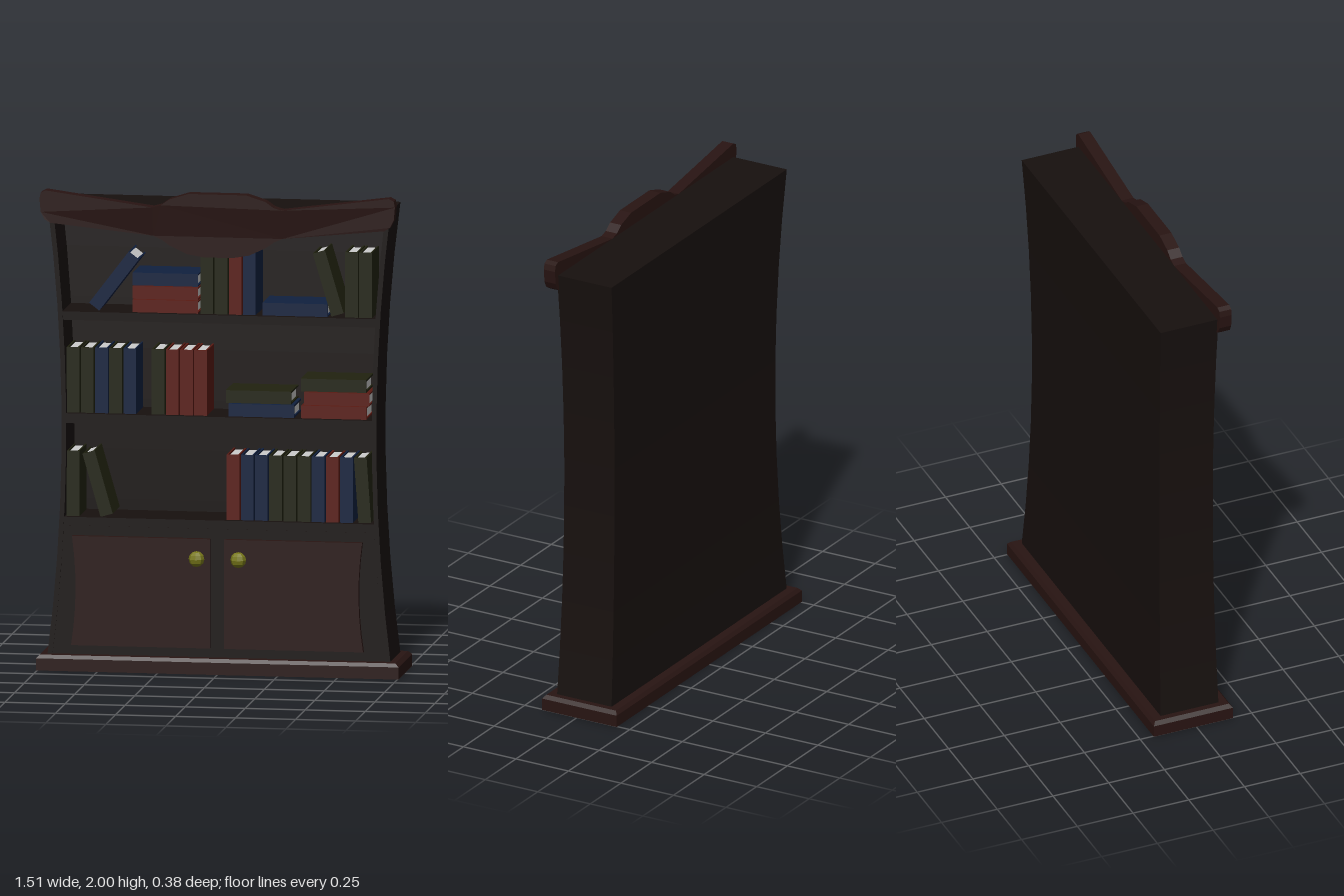
import * as THREE from 'three';

const mat = (color) => new THREE.MeshStandardMaterial({ color, flatShading: true });

export function createModel() {
  const root = new THREE.Group();
  root.name = 'bookcase';
  const darkWood = mat(0x17100e), redWood = mat(0x281412), brass = mat(0x78781a);
  const pages = mat(0xcccccc);
  const covers = { r: mat(0x5a1a12), b: mat(0x10203f), o: mat(0x20220f) };

  const add = (parent, name, geometry, material, x = 0, y = 0, z = 0) => {
    const mesh = new THREE.Mesh(geometry, material);
    mesh.name = name;
    mesh.position.set(x, y, z);
    parent.add(mesh);
    return mesh;
  };
  const reshape = (geometry, rule) => {
    const p = geometry.attributes.position, v = new THREE.Vector3();
    for (let i = 0; i < p.count; i++) {
      rule(v.fromBufferAttribute(p, i));
      p.setXYZ(i, v.x, v.y, v.z);
    }
    geometry.computeVertexNormals();
    return geometry;
  };

  // Carcass boards: boxes whose sides and back follow the waisted outline
  const board = (name, x0, x1, y0, y1, z0, z1) => {
    const steps = Math.max(1, Math.round((y1 - y0) / 0.2));
    const g = new THREE.BoxGeometry(x1 - x0, y1 - y0, z1 - z0, 1, steps, 1);
    g.translate((x0 + x1) / 2, (y0 + y1) / 2, (z0 + z1) / 2);
    reshape(g, (v) => {
      const q = (v.y - 1) ** 2;
      v.x *= (0.655 + 0.067 * q) / 0.655;
      if (v.z < 0) v.z *= (0.122 + 0.023 * q) / 0.122;
    });
    return add(root, name, g, darkWood);
  };
  board('leftSide', 0.636, 0.655, 0.05, 1.94, -0.122, 0.117);
  board('rightSide', -0.655, -0.636, 0.05, 1.94, -0.122, 0.117);
  board('backPanel', -0.636, 0.636, 0.05, 1.94, -0.122, -0.102);
  board('topBoard', -0.636, 0.636, 1.88, 1.94, -0.102, 0.117);
  board('cupboardFront', -0.636, 0.636, 0.05, 0.6, 0.09, 0.115);
  for (const [y0, y1] of [[0.595, 0.635], [1.025, 1.066], [1.455, 1.49]])
    board('shelf', -0.637, 0.637, y0, y1, -0.103, 0.114);

  // Plinth with a chamfered upper edge
  const plinth = new THREE.BoxGeometry(1.51, 0.065, 0.355, 1, 2, 1);
  reshape(plinth, (v) => {
    if (Math.abs(v.y) < 0.01) v.y = 0.018;
    else if (v.y > 0) { v.x -= Math.sign(v.x) * 0.015; v.z -= Math.sign(v.z) * 0.012; }
  });
  add(root, 'plinth', plinth, redWood, 0, 0.0325, -0.013);

  // Carved cornice: half outline mirrored, its lower edge set back
  const half = [
    [0.12, 2], [0.2, 1.975], [0.235, 1.95], [0.27, 1.94], [0.715, 2], [0.735, 1.99], [0.74, 1.965],
    [0.735, 1.91], [0.72, 1.88], [0.695, 1.865], [0.27, 1.82], [0.235, 1.805], [0.2, 1.78],
    [0.13, 1.747], [0.06, 1.735],
  ];
  const outline = [...half, ...half.map(([x, y]) => [-x, y]).reverse()];
  const cornice = new THREE.ExtrudeGeometry(
    new THREE.Shape(outline.map(([x, y]) => new THREE.Vector2(x, y))),
    { depth: 0.053, bevelEnabled: false });
  reshape(cornice, (v) => {
    if (v.z > 0.01) v.z -= 0.016 * THREE.MathUtils.clamp((1.87 - v.y) / 0.05, 0, 1);
  });
  add(root, 'cornice', cornice, redWood, 0, 0, 0.112);

  // Cupboard doors with bowed outer edges, and their knobs
  for (const s of [-1, 1]) {
    const shape = new THREE.Shape();
    shape.moveTo(s * 0.03, 0.105);
    shape.lineTo(s * 0.608, 0.105);
    shape.quadraticCurveTo(s * 0.572, 0.33, s * 0.604, 0.56);
    shape.lineTo(s * 0.03, 0.56);
    shape.closePath();
    const g = new THREE.ExtrudeGeometry(shape, { depth: 0.028, bevelEnabled: false, curveSegments: 6 });
    const side = s > 0 ? 'left' : 'right';
    add(root, side + 'Door', g, redWood, -0.005, 0, 0.11);
    add(root, side + 'Knob', new THREE.SphereGeometry(0.033, 8, 6), brass, s * 0.087, 0.48, 0.16);
  }

  // Books: two covers, a spine facing forward and a recessed page block
  const H = 0.272, T = 0.053, D = 0.185, C = 0.007;
  const coverGeo = new THREE.BoxGeometry(C, H, D);
  const spineGeo = new THREE.BoxGeometry(T - 2 * C, H, C);
  const pageGeo = new THREE.BoxGeometry(T - 2 * C, H - 0.014, D - 0.016);
  const book = (colour, x, y, tilt = 0) => {
    const g = new THREE.Group();
    g.name = 'book';
    add(g, 'cover', coverGeo, covers[colour], (T - C) / 2);
    add(g, 'cover', coverGeo, covers[colour], -(T - C) / 2);
    add(g, 'spine', spineGeo, covers[colour], 0, 0, (D - C) / 2);
    add(g, 'pages', pageGeo, pages, 0, 0, 0.001);
    g.position.set(x, y, -0.003);
    g.rotation.z = tilt;
    root.add(g);
  };
  const row = (colours, x, base) =>
    [...colours].forEach((c, i) => book(c, x + i * 0.059, base + H / 2));
  const stack = (colours, xs, base) =>
    [...colours].forEach((c, i) => book(c, xs[i], base + T / 2 + i * 0.056, -Math.PI / 2));

  // Upper shelf
  book('b', -0.442, 1.617, -0.65);
  stack('rrb', [-0.228, -0.228, -0.228], 1.49);
  row('oorb', -0.055, 1.49);
  stack('b', [0.312], 1.49);
  book('o', 0.45, 1.63, 0.29);
  row('oo', 0.547, 1.49);

  // Middle shelf
  row('oobob', -0.612, 1.066);
  row('orrr', -0.258, 1.066);
  stack('bo', [0.172, 0.16], 1.066);
  stack('rro', [0.474, 0.486, 0.472], 1.066);

  // Lower shelf
  row('o', -0.612, 0.635);
  book('o', -0.51, 0.772, 0.28);
  row('rbbooobrb', 0.054, 0.635);
  book('o', 0.593, 0.772, 0.07);

  return root;
}
